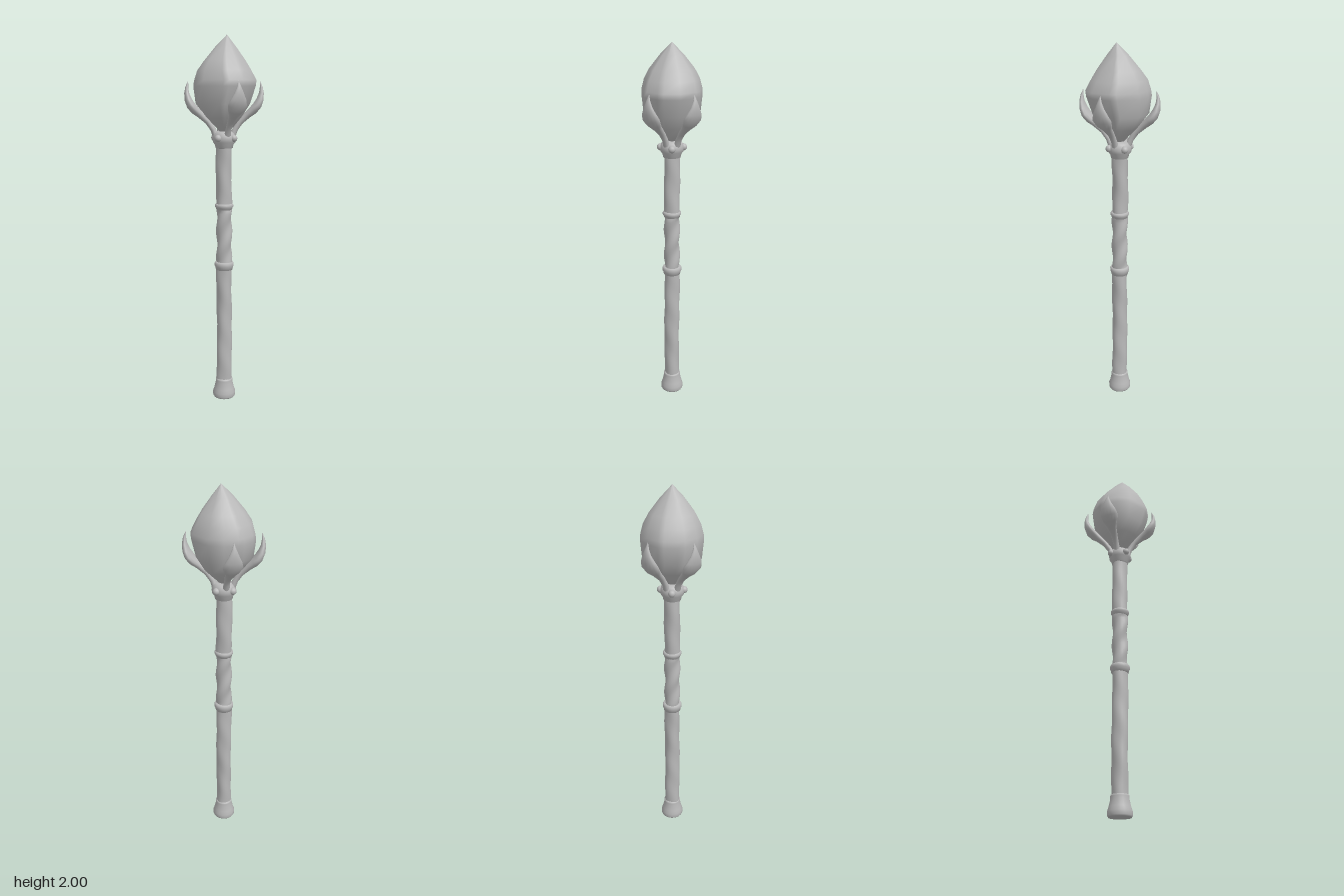
import * as THREE from 'three';

// Skin a list of rings (counted from bottom to top) and cap both ends
function loft(rings) {
  const n = rings[0].length, pos = [], idx = [];
  rings.forEach(r => r.forEach(p => pos.push(p.x, p.y, p.z)));
  for (let i = 0; i < rings.length - 1; i++) {
    for (let j = 0; j < n; j++) {
      const a = i * n + j, b = i * n + (j + 1) % n;
      idx.push(a, a + n, b, b, a + n, b + n);
    }
  }
  // caps have their own vertices so their rims stay sharp
  [[rings[0], false], [rings[rings.length - 1], true]].forEach(([ring, top]) => {
    const base = pos.length / 3, c = new THREE.Vector3();
    ring.forEach(p => { pos.push(p.x, p.y, p.z); c.add(p); });
    c.divideScalar(n);
    pos.push(c.x, c.y, c.z);
    for (let j = 0; j < n; j++) {
      const a = base + j, b = base + (j + 1) % n;
      idx.push(base + n, top ? b : a, top ? a : b);
    }
  });
  const g = new THREE.BufferGeometry();
  g.setAttribute('position', new THREE.Float32BufferAttribute(pos, 3));
  g.setIndex(idx);
  g.computeVertexNormals();
  return g;
}

const circle = (n, fn) => Array.from({ length: n }, (_, j) => fn(j / n * Math.PI * 2));

export function createModel() {
  const group = new THREE.Group();
  const stone = new THREE.MeshStandardMaterial({ color: 0xb8b8b8 });
  stone.name = 'grey';
  const add = (name, geometry, parent = group) => {
    const m = new THREE.Mesh(geometry, stone);
    m.name = name;
    parent.add(m);
    return m;
  };
  const lathe = (name, pts) =>
    add(name, new THREE.LatheGeometry(pts.map(p => new THREE.Vector2(p[0], p[1])), 24));

  // Uneven wooden shaft, with a spiral twist in the grip section
  const shaft = [];
  for (let i = 0; i <= 90; i++) {
    const y = 0.08 + i / 90 * 1.36;
    const grip = y > 0.79 && y < 1.09;
    shaft.push(circle(20, a => {
      const r = grip
        ? 0.041 + 0.004 * Math.sin(2 * a + y * 42)
        : 0.042 + 0.002 * Math.sin(3 * a + y * 9) + 0.0015 * Math.sin(2 * a - y * 31);
      const bend = y > 1.09 ? -0.003 * Math.sin((y - 1.09) / 0.35 * Math.PI) : 0;
      return new THREE.Vector3(r * Math.cos(a) + bend, y, r * Math.sin(a));
    }));
  }
  add('shaft', loft(shaft));

  // Flared foot
  lathe('foot', [[0, 0], [0.058, 0], [0.063, 0.008], [0.063, 0.03], [0.056, 0.05],
    [0.048, 0.085], [0.048, 0.1], [0.046, 0.108], [0.04, 0.11]]);

  // Raised bands around the grip
  [[0.77, 0.053, 0.022], [1.1, 0.05, 0.016]].forEach(([y, r, h]) =>
    lathe('gripBand', [[0.038, y - h], [r - 0.007, y - h], [r - 0.004, y - h * 0.3], [r, y],
      [r, y + h * 0.6], [r - 0.005, y + h], [0.038, y + h]]));

  // Collar below the head
  lathe('collar', [[0.04, 1.415], [0.046, 1.417], [0.05, 1.435], [0.06, 1.448], [0.063, 1.465],
    [0.061, 1.482], [0.053, 1.495], [0.042, 1.505], [0, 1.507]]);

  // Round studs on the four sides of the collar
  for (let i = 0; i < 4; i++) {
    const a = i * Math.PI / 2;
    add('collarStud', new THREE.SphereGeometry(0.019, 14, 10))
      .position.set(0.06 * Math.cos(a), 1.47, 0.06 * Math.sin(a));
  }

  // Irregular crystal: outline in x, z, fitted to each height
  const outline = [[1, 0.25], [0.9, 0.45], [0.61, 0.79], [0.46, 0.89], [-0.22, 1], [-0.63, 0.79],
    [-0.94, 0.43], [-1, 0.2], [-1, -0.22], [-0.94, -0.41], [-0.64, -0.77], [-0.22, -1],
    [0.46, -0.89], [0.64, -0.78], [0.99, -0.28]];
  // y, x minimum, x maximum, half depth
  const levels = [[1.495, -0.015, 0.015, 0.015], [1.53, -0.045, 0.05, 0.05], [1.58, -0.09, 0.09, 0.105],
    [1.65, -0.147, 0.135, 0.148], [1.74, -0.16, 0.167, 0.157], [1.77, -0.155, 0.172, 0.155],
    [1.82, -0.138, 0.143, 0.142], [1.87, -0.1, 0.112, 0.115], [1.94, -0.042, 0.063, 0.06],
    [2, 0.016, 0.018, 0.001]];
  add('crystal', loft(levels.map(([y, x0, x1, d]) => outline.map(([u, v]) =>
    new THREE.Vector3((x0 + x1) / 2 + u * (x1 - x0) / 2, y, v * d)))));

  // Four curved claws holding the crystal: radius, y, half thickness, half width
  const claw = [[0.04, 1.465, 0.016, 0.02], [0.058, 1.515, 0.015, 0.016], [0.086, 1.555, 0.015, 0.018],
    [0.125, 1.592, 0.019, 0.026], [0.155, 1.617, 0.023, 0.043], [0.176, 1.642, 0.023, 0.052],
    [0.19, 1.672, 0.019, 0.042], [0.197, 1.705, 0.013, 0.025], [0.196, 1.735, 0.008, 0.012],
    [0.189, 1.766, 0.001, 0.001]];
  const clawGeometry = loft(claw.map(([r, y, t, w], i) => {
    const p = claw[Math.max(i - 1, 0)], q = claw[Math.min(i + 1, claw.length - 1)];
    const dir = new THREE.Vector2(q[0] - p[0], q[1] - p[1]).normalize();
    return circle(14, a => new THREE.Vector3(
      r + dir.y * t * Math.cos(a), y - dir.x * t * Math.cos(a), w * Math.sin(a)));
  }));
  const lean = 0.62;
  [lean, Math.PI - lean, Math.PI + lean, -lean].forEach(a => {
    add('claw', clawGeometry).rotation.y = a;
  });

  return group;
}
